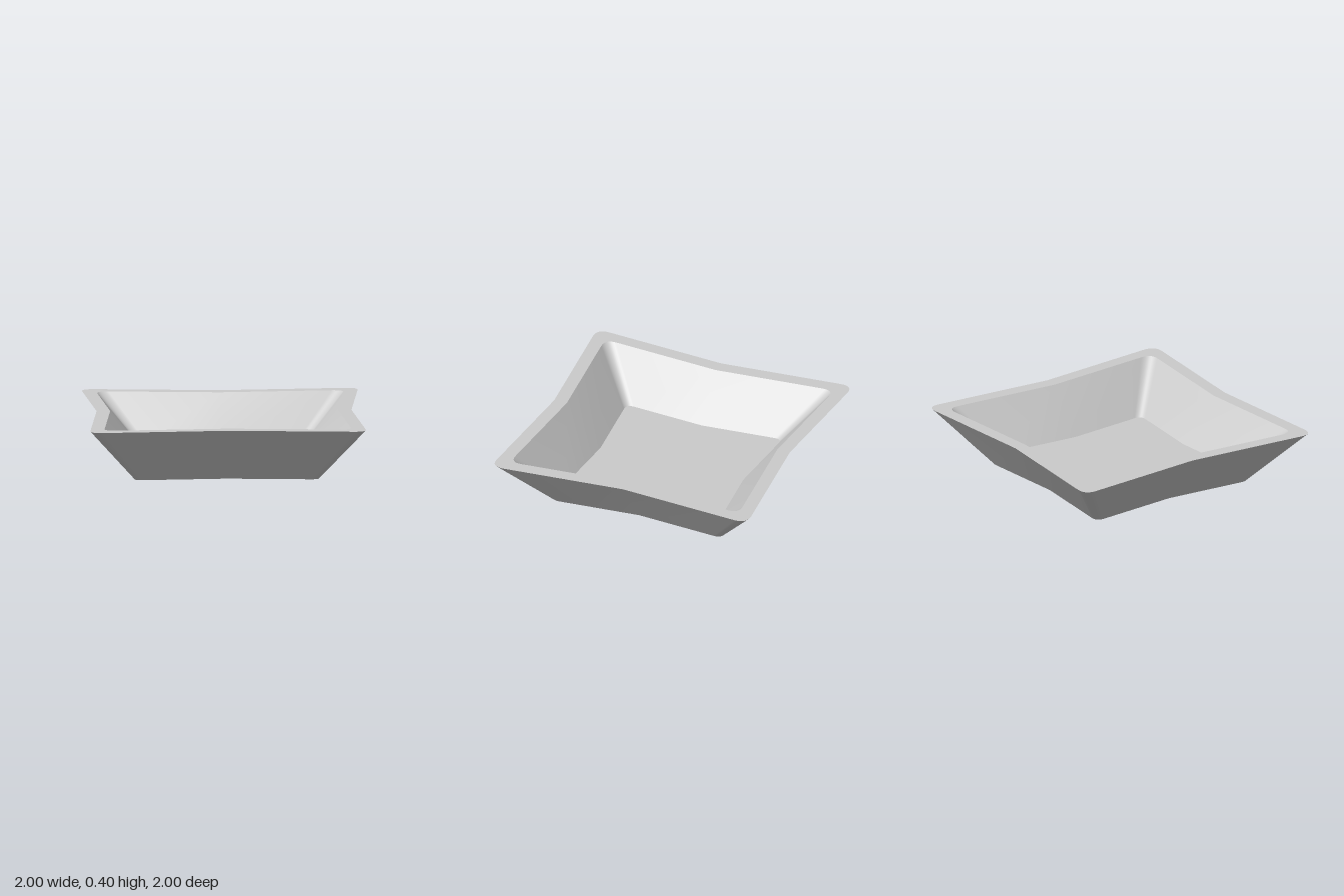
import * as THREE from 'three';

const HEIGHT = 0.4, FLOOR = 0.08;
const material = new THREE.MeshStandardMaterial({ color: 0xcccccc });

// Square outline with pinched sides and rounded corners, one quarter turned four times
function outline(scale) {
  const corner = new THREE.QuadraticBezierCurve(
    new THREE.Vector2(0.998, 0.905), new THREE.Vector2(1.005, 1.005), new THREE.Vector2(0.905, 0.998));
  const quarter = [new THREE.Vector2(0.923, 0), ...corner.getPoints(8)];
  const points = [];
  for (let q = 0; q < 4; q++) {
    for (const p of quarter) {
      points.push(p.clone().rotateAround(new THREE.Vector2(), q * Math.PI / 2).multiplyScalar(scale));
    }
  }
  return points;
}

// Smooth wall between two outlines; it faces outward when it runs upward
function wall(scaleA, yA, scaleB, yB) {
  const a = outline(scaleA), b = outline(scaleB), n = a.length;
  const positions = [], index = [];
  a.forEach((p) => positions.push(p.x, yA, p.y));
  b.forEach((p) => positions.push(p.x, yB, p.y));
  for (let i = 0; i < n; i++) {
    const j = (i + 1) % n;
    index.push(i, n + i, j, j, n + i, n + j);
  }
  const geometry = new THREE.BufferGeometry();
  geometry.setAttribute('position', new THREE.Float32BufferAttribute(positions, 3));
  geometry.setIndex(index);
  geometry.computeVertexNormals();
  return geometry;
}

// Flat horizontal face, optionally with a hole
function flat(scale, y, holeScale, down) {
  const shape = new THREE.Shape(outline(scale));
  if (holeScale) shape.holes.push(new THREE.Path(outline(holeScale)));
  return new THREE.ShapeGeometry(shape).rotateX(down ? Math.PI / 2 : -Math.PI / 2).translate(0, y, 0);
}

export function createModel() {
  const bowl = new THREE.Group();
  bowl.name = 'bowl';
  const add = (name, geometry) => {
    const mesh = new THREE.Mesh(geometry, material);
    mesh.name = name;
    bowl.add(mesh);
  };

  add('outerWall', wall(0.67, 0, 1, HEIGHT));
  add('innerWall', wall(0.893, HEIGHT, 0.607, FLOOR));
  add('rim', flat(1, HEIGHT, 0.893));
  add('floor', flat(0.607, FLOOR));
  add('base', flat(0.67, 0, 0, true));
  return bowl;
}
